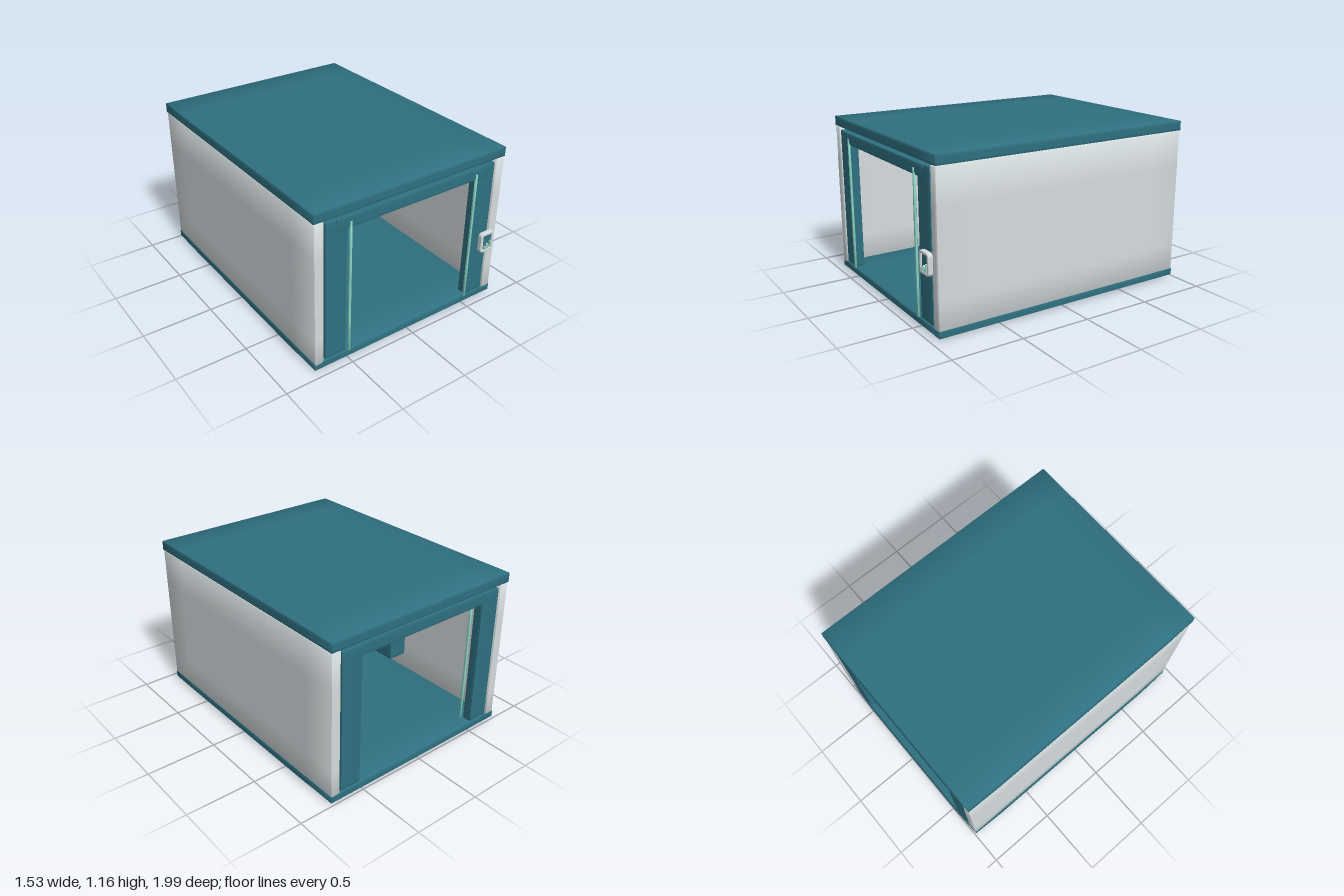
import * as THREE from 'three';
import { RoundedBoxGeometry } from 'three/addons/geometries/RoundedBoxGeometry.js';

const paint = (name, color) => {
  const m = new THREE.MeshStandardMaterial({ color });
  m.name = name;
  return m;
};

// Box from min/max corners whose faces are slightly crowned and shade softly towards their edges.
function softBox(min, max, { inset = 0.25, crown = 0.008, tilt = 0.4 } = {}) {
  const half = min.map((v, i) => (max[i] - v) / 2);
  const geo = new THREE.BoxGeometry(2, 2, 2, 3, 3, 3);
  const pos = geo.attributes.position, nor = geo.attributes.normal;
  for (let i = 0; i < pos.count; i++) {
    const p = pos.getComponent.bind(pos, i);
    const outer = [0, 1, 2].map(a => Math.abs(p(a)) > 0.99);
    const edges = outer.filter(Boolean).length;
    const n = new THREE.Vector3().fromBufferAttribute(nor, i);
    for (let a = 0; a < 3; a++) {
      const s = Math.sign(p(a));
      if (outer[a] && Math.abs(n.getComponent(a)) < 0.5) n.setComponent(a, s * tilt);
      const reach = outer[a]
        ? half[a] - (edges > 1 ? Math.min(crown, half[a] * 0.3) : 0)
        : half[a] - Math.min(inset, half[a] * 0.6);
      pos.setComponent(i, a, s * reach + (min[a] + max[a]) / 2);
    }
    n.normalize();
    nor.setXYZ(i, n.x, n.y, n.z);
  }
  return geo;
}

export function createModel() {
  const teal = paint('deep teal', 0x2f7080);
  const white = paint('pale grey', 0xd6dddf);
  const mint = paint('mint', 0x88d2c2);

  const model = new THREE.Group();
  model.name = 'tunnelChamber';

  const add = (parent, name, geo, mat) => {
    const mesh = new THREE.Mesh(geo, mat);
    mesh.name = name;
    parent.add(mesh);
    return mesh;
  };
  const block = (parent, name, mat, min, max, opts) => add(parent, name, softBox(min, max, opts), mat);

  // Roof and floor slabs
  block(model, 'roof', teal, [-0.765, 1.083, -1], [0.765, 1.165, 0.955]);
  block(model, 'floor', teal, [-0.765, 0.004, -1], [0.765, 0.07, 0.955], { crown: 0.01 });

  // Side walls and the feet beneath the floor
  for (const s of [-1, 1]) {
    const x = s * 0.72;
    const side = s > 0 ? 'left' : 'right';
    block(model, side + 'Wall', white, [x - 0.04, 0.003, -0.995], [x + 0.04, 1.09, 0.952]);
    for (const z of [-0.89, 0.85]) {
      const fx = s * 0.6;
      block(model, side + 'Foot', teal, [fx - 0.07, 0, z - 0.035], [fx + 0.07, 0.012, z + 0.035], { crown: 0.003 });
    }
  }

  // Door frame with two posts, a header and light strips on its +z face
  function doorFrame(name, zFace) {
    const frame = new THREE.Group();
    frame.name = name;
    frame.position.z = zFace;
    for (const s of [-1, 1]) {
      const x = s * 0.596, lx = s * 0.501;
      block(frame, 'post', teal, [x - 0.084, 0.06, -0.08], [x + 0.084, 1.075, -0.002], { inset: 0.04, tilt: 0.2 });
      block(frame, 'lightStrip', mint, [lx - 0.01, 0.065, -0.006], [lx + 0.01, 1.035, 0.013], { crown: 0.004 });
    }
    block(frame, 'header', teal, [-0.606, 0.98, -0.075], [0.606, 1.075, 0.006], { inset: 0.04, tilt: 0.2 });
    model.add(frame);
  }
  doorFrame('frontFrame', 0.952);
  doorFrame('backFrame', -0.912);

  // Rounded rectangle outline
  function roundedRect(path, w, h, r) {
    const x = w / 2, y = h / 2;
    path.absarc(x - r, y - r, r, 0, Math.PI / 2);
    path.absarc(-x + r, y - r, r, Math.PI / 2, Math.PI);
    path.absarc(-x + r, -y + r, r, Math.PI, Math.PI * 1.5);
    path.absarc(x - r, -y + r, r, Math.PI * 1.5, Math.PI * 2);
    path.closePath();
    return path;
  }

  // Control panel: bezel, dark screen and a row of level bars
  function controlPanel(name, x, y, z, scale) {
    const panel = new THREE.Group();
    panel.name = name;
    panel.position.set(x, y, z);
    panel.scale.setScalar(scale);
    const outline = roundedRect(new THREE.Shape(), 0.11, 0.14, 0.02);
    outline.holes.push(roundedRect(new THREE.Path(), 0.088, 0.118, 0.008));
    const bezel = new THREE.ExtrudeGeometry(outline, {
      depth: 0.025, bevelThickness: 0.005, bevelSize: 0.005, bevelSegments: 2, curveSegments: 5,
    });
    add(panel, 'bezel', bezel, white).position.z = 0.005;
    add(panel, 'screen', new THREE.BoxGeometry(0.1, 0.13, 0.024), teal).position.z = 0.012;
    const heights = [0.025, 0.018, 0.04, 0.022, 0.055];
    heights.forEach((h, i) => {
      const bar = add(panel, 'levelBar', new RoundedBoxGeometry(0.009, h, 0.016, 2, 0.003), i === 2 ? white : mint);
      bar.position.set(-0.026 + i * 0.013, -0.052 + h / 2, 0.03);
    });
    model.add(panel);
  }
  controlPanel('frontControlPanel', 0.648, 0.478, 0.95, 1);
  controlPanel('innerControlPanel', -0.514, 0.492, 0.125, 1.28);

  // Cabinet fixed to the inner right wall, behind the inner panel
  block(model, 'innerCabinet', teal, [-0.685, 0.18, -0.16], [-0.515, 0.66, 0.13], { inset: 0.04, crown: 0.012, tilt: 0.25 });

  return model;
}
